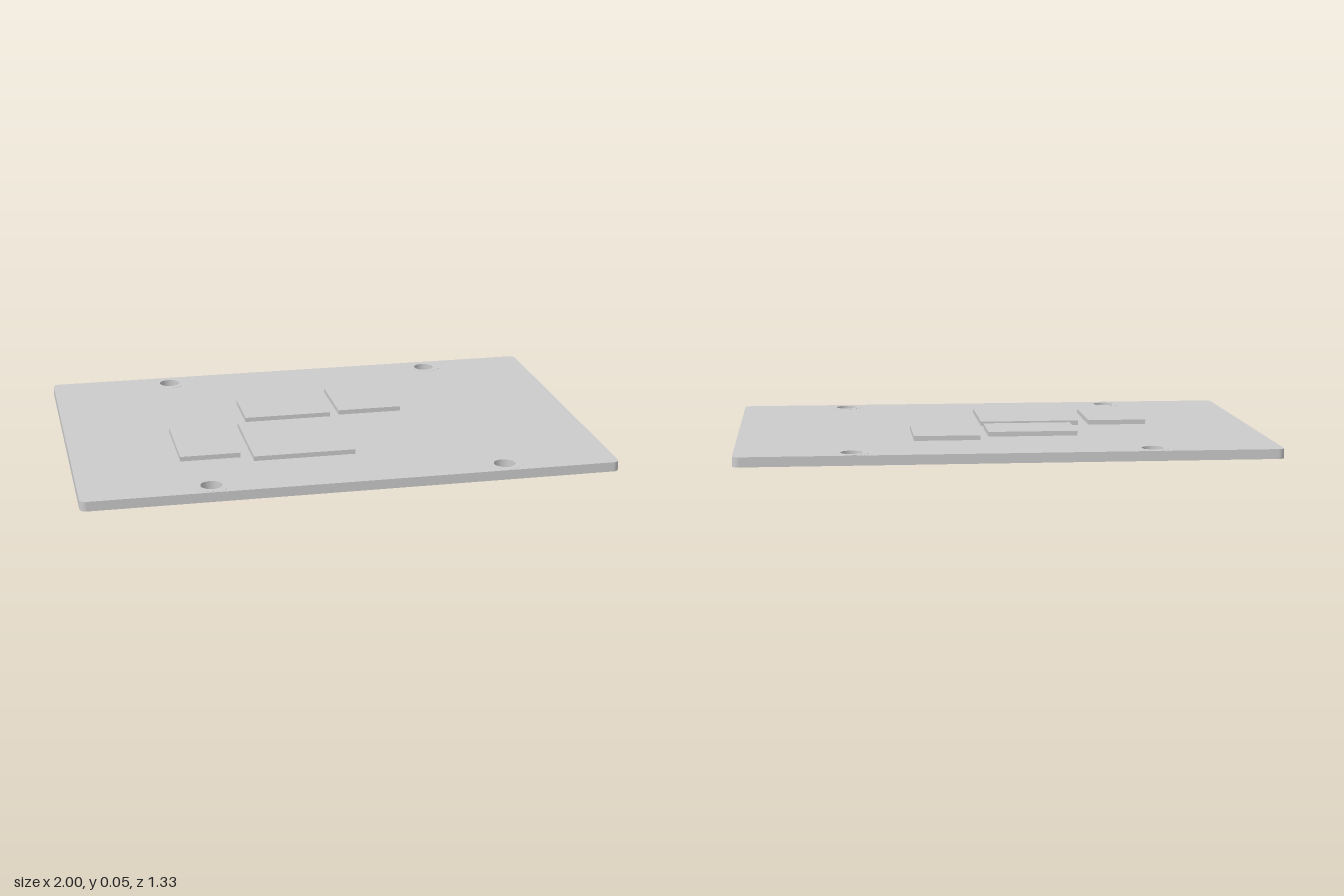
import * as THREE from 'three';

const BOARD_TOP = 0.037;
const CHIP_TOP = 0.055;
const HOLE_R = 0.04;
const HOLES = [[-0.522, -0.595], [0.575, -0.595], [-0.522, 0.595], [0.575, 0.595]];

const material = new THREE.MeshStandardMaterial({ color: 0xcccccc });

// Flat plate lying on y = bottom, cut from a shape drawn in x and -z
function plate(name, shape, bottom, height) {
  const geometry = new THREE.ExtrudeGeometry(shape, { depth: height, bevelEnabled: false, curveSegments: 16 });
  geometry.rotateX(-Math.PI / 2);
  geometry.translate(0, bottom, 0);
  const mesh = new THREE.Mesh(geometry, material);
  mesh.name = name;
  return mesh;
}

function circle(path, x, z, r) {
  path.absarc(x, -z, r, 0, Math.PI * 2, false);
  return path;
}

function roundedRectangle(w, d, r) {
  const x = w / 2 - r, y = d / 2 - r;
  const shape = new THREE.Shape();
  shape.absarc(x, y, r, 0, Math.PI / 2);
  shape.absarc(-x, y, r, Math.PI / 2, Math.PI);
  shape.absarc(-x, -y, r, Math.PI, Math.PI * 1.5);
  shape.absarc(x, -y, r, Math.PI * 1.5, Math.PI * 2);
  shape.closePath();
  return shape;
}

export function createModel() {
  const group = new THREE.Group();
  group.name = 'circuitBoard';

  // Board with rounded corners and four mounting holes
  const outline = roundedRectangle(2, 1.333, 0.025);
  for (const [x, z] of HOLES) outline.holes.push(circle(new THREE.Path(), x, z, HOLE_R));
  group.add(plate('board', outline, 0.0005, BOARD_TOP - 0.0005));

  // Thin ring pads, a hair proud of both faces around each hole
  HOLES.forEach(([x, z], i) => {
    const ring = circle(new THREE.Shape(), x, z, 0.066);
    ring.holes.push(circle(new THREE.Path(), x, z, HOLE_R));
    group.add(plate(`mountingPad${i + 1}`, ring, 0, BOARD_TOP + 0.0005));
  });

  // Chips: x range, z range
  const chips = {
    processorChip: [-0.33, 0.055, 0, 0.385],
    memoryChip: [-0.6, -0.373, 0, 0.335],
    controllerChip: [-0.29, 0.05, -0.272, -0.047],
    networkChip: [0.087, 0.338, -0.35, -0.062],
  };
  for (const [name, [x0, x1, z0, z1]] of Object.entries(chips)) {
    const height = CHIP_TOP - BOARD_TOP;
    const chip = new THREE.Mesh(new THREE.BoxGeometry(x1 - x0, height, z1 - z0), material);
    chip.position.set((x0 + x1) / 2, BOARD_TOP + height / 2, (z0 + z1) / 2);
    chip.name = name;
    group.add(chip);
  }

  return group;
}
